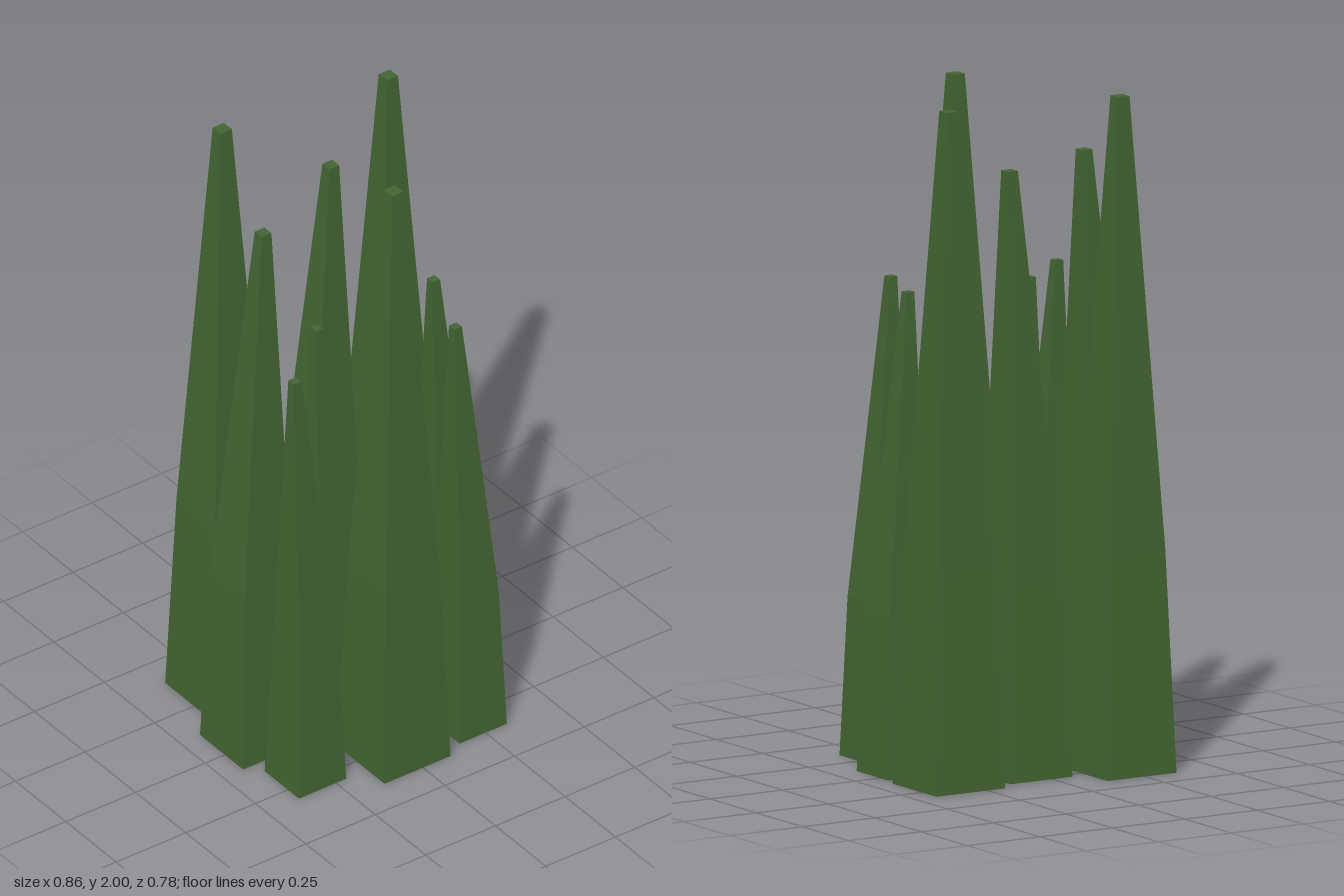
import * as THREE from 'three';

// Blade sizes: height, half width at the base and at the tip, sideways lean of the tip
const SIZES = {
  tall: { height: 2, base: 0.119, tip: 0.02, lean: 0 },
  medium: { height: 1.795, base: 0.107, tip: 0.0175, lean: 0.042 },
  short: { height: 1.423, base: 0.085, tip: 0.0135, lean: -0.038 },
};

// Base centre of every blade: size, x, z
const BLADES = [
  ['tall', -0.239, -0.275],
  ['tall', 0.309, -0.208],
  ['tall', -0.019, 0.271],
  ['medium', -0.322, -0.016],
  ['medium', 0.037, -0.176],
  ['short', -0.298, 0.219],
  ['short', -0.09, 0.041],
  ['short', 0.329, 0.041],
  ['short', 0.242, 0.27],
];

// Square column with three rings: base, 80% width a third of the way up, small leaning tip
function bladeGeometry({ height, base, tip, lean }) {
  const column = new THREE.CylinderGeometry(Math.SQRT2, Math.SQRT2, 2, 4, 2, false, Math.PI / 4);
  const rings = [
    { y: 0, half: base, shift: 0 },
    { y: height / 3, half: base * 0.8, shift: 0 },
    { y: height, half: tip, shift: lean },
  ];
  const p = column.attributes.position;
  for (let i = 0; i < p.count; i++) {
    const ring = rings[Math.round(p.getY(i)) + 1];
    p.setXYZ(i, p.getX(i) * ring.half + ring.shift, ring.y, p.getZ(i) * ring.half);
  }
  const geometry = column.toNonIndexed();
  geometry.computeVertexNormals();
  return geometry;
}

export function createModel() {
  const group = new THREE.Group();
  group.name = 'grassTuft';
  const material = new THREE.MeshStandardMaterial({ color: 0x446633, flatShading: true });

  const geometries = {};
  for (const size in SIZES) geometries[size] = bladeGeometry(SIZES[size]);

  for (const [size, x, z] of BLADES) {
    const blade = new THREE.Mesh(geometries[size], material);
    blade.name = `${size}Blade`;
    blade.position.set(x, 0, z);
    group.add(blade);
  }
  return group;
}
